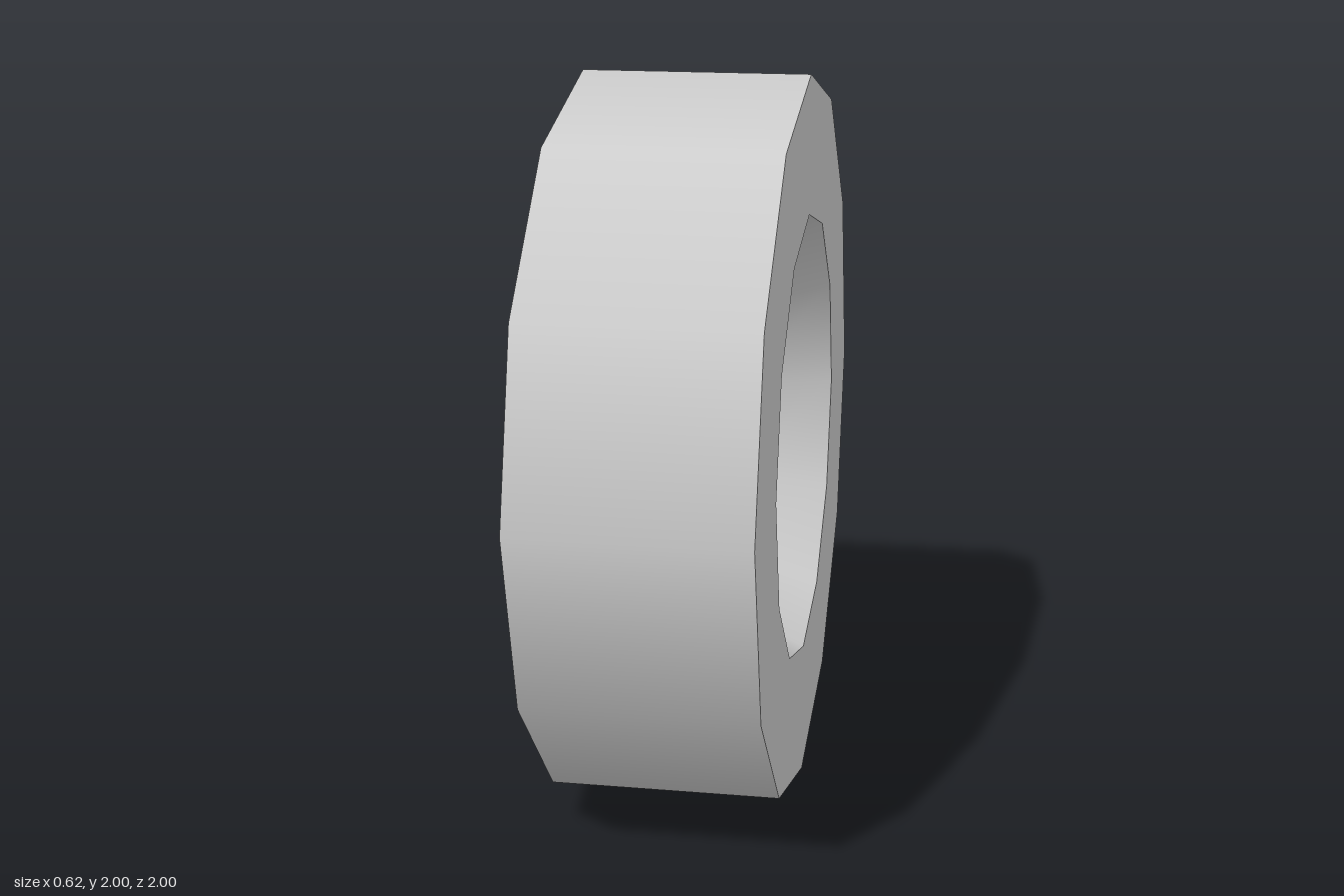
import * as THREE from 'three';

const SIDES = 12;
const HALF = 0.31;           // half the tyre width
const DISC_FRONT = 0.048, DISC_BACK = -0.055;
const CAP = 0.123;           // outer end of the hub
const rad = THREE.MathUtils.degToRad;

export function createModel() {
  const grey = new THREE.MeshStandardMaterial({ color: 0xcccccc });
  grey.name = 'light grey';

  const wheel = new THREE.Group();
  wheel.name = 'wheel';
  wheel.position.y = 1;

  const add = (name, geometry) => {
    const mesh = new THREE.Mesh(geometry, grey);
    mesh.name = name;
    wheel.add(mesh);
  };

  // One smooth band around the x axis, from (radius, x) to (radius, x)
  const band = (name, r1, x1, r2, x2) => {
    const points = [new THREE.Vector2(r1, x1), new THREE.Vector2(r2, x2)];
    add(name, new THREE.LatheGeometry(points, SIDES).rotateZ(-Math.PI / 2));
  };

  // Tyre and the tapered recesses on both sides
  band('tread', 1, -HALF, 1, HALF);
  band('outerSidewall', 1, HALF, 0.623, HALF);
  band('outerRecess', 0.623, HALF, 0.51, DISC_FRONT);
  band('innerRecess', 0.48, DISC_BACK, 0.623, -HALF);
  band('innerSidewall', 0.623, -HALF, 1, -HALF);

  // Rim disc with six tapered openings
  const polar = (r, degrees) =>
    new THREE.Vector2(-r * Math.sin(rad(degrees)), r * Math.cos(rad(degrees)));
  const disc = new THREE.Shape(
    Array.from({ length: SIDES }, (_, i) => polar(0.51, (i * 360) / SIDES)));
  for (let i = 0; i < 6; i++) {
    const mid = 15 + i * 60;
    disc.holes.push(new THREE.Path([
      polar(0.333, mid - 9.7), polar(0.463, mid - 11),
      polar(0.463, mid + 11), polar(0.333, mid + 9.7),
    ]));
  }
  const discGeometry = new THREE.ExtrudeGeometry(disc, {
    depth: DISC_FRONT - DISC_BACK, bevelEnabled: false,
  });
  add('rimDisc', discGeometry.rotateY(Math.PI / 2).translate(DISC_BACK, 0, 0));

  // Raised hub on the outer side
  band('hub', 0.305, DISC_FRONT, 0.23, CAP);
  band('hubCap', 0.23, CAP, 0, CAP);

  const model = new THREE.Group();
  model.name = 'wheelModel';
  model.add(wheel);
  return model;
}
